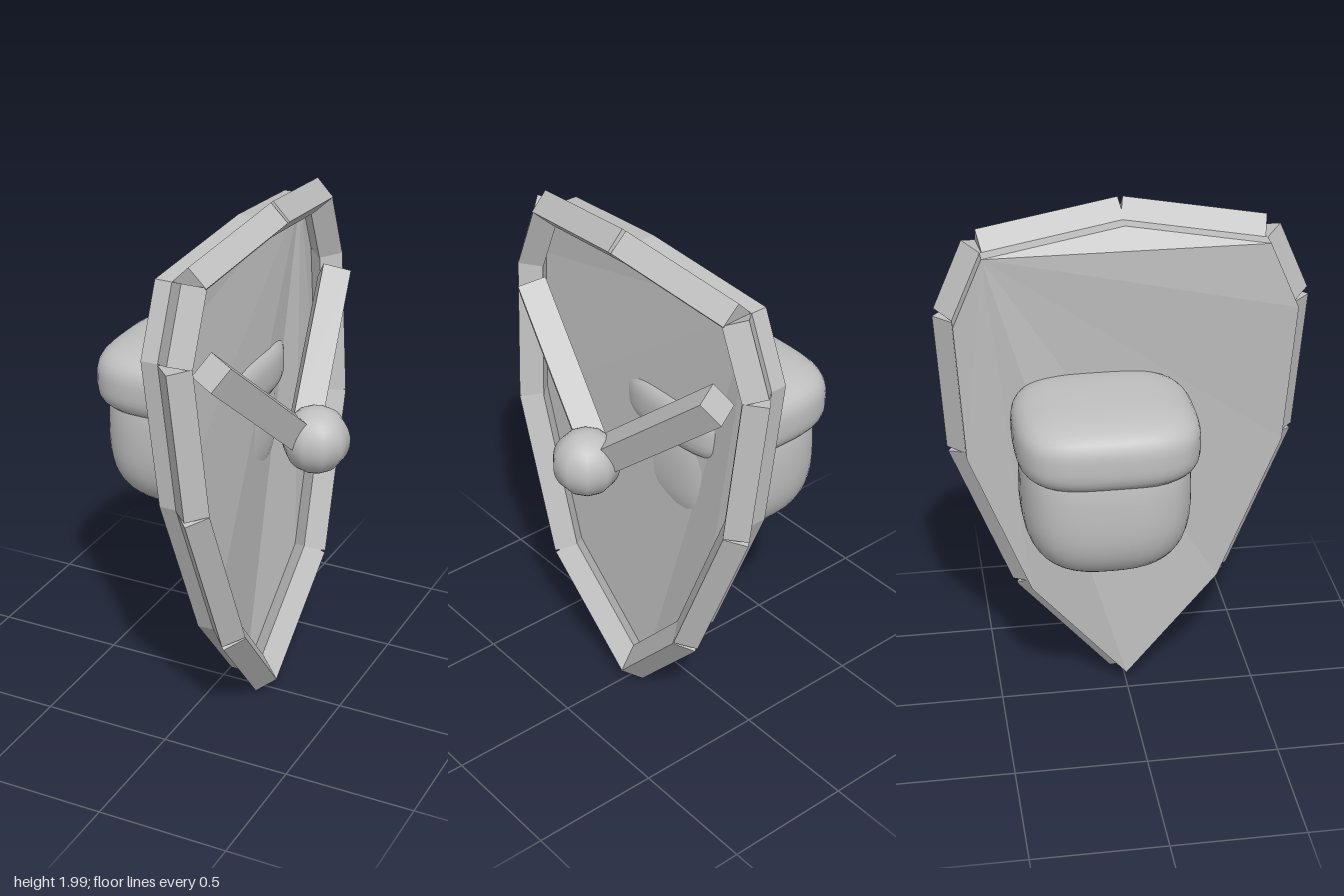
import * as THREE from 'three';
import { mergeVertices } from 'three/addons/utils/BufferGeometryUtils.js';

const V = (x, y, z) => new THREE.Vector3(x, y, z);

export function createModel() {
  const group = new THREE.Group();
  const grey = new THREE.MeshStandardMaterial({ color: 0xc0c0c0 });
  grey.name = 'plain grey';

  const add = (name, geometry) => {
    const mesh = new THREE.Mesh(geometry, grey);
    mesh.name = name;
    group.add(mesh);
  };

  // Square bar running from a to b; one pair of sides faces along hint
  const bar = (name, a, b, size, hint) => {
    const d = b.clone().sub(a);
    const length = d.length();
    d.normalize();
    const u = hint.clone().addScaledVector(d, -hint.dot(d)).normalize();
    const v = u.clone().cross(d);
    const geometry = new THREE.BoxGeometry(size, length, size);
    geometry.applyMatrix4(new THREE.Matrix4().makeBasis(u, d, v));
    const mid = a.clone().add(b).multiplyScalar(0.5);
    geometry.translate(mid.x, mid.y, mid.z);
    add(name, geometry);
  };

  // Smooth pillow shape: a cube pushed onto a rounded-box surface
  const pillow = (name, centre, half, power) => {
    let geometry = new THREE.BoxGeometry(2, 2, 2, 12, 12, 12);
    geometry.deleteAttribute('uv');
    geometry.deleteAttribute('normal');
    geometry = mergeVertices(geometry);
    const pos = geometry.attributes.position;
    const p = V(0, 0, 0);
    for (let i = 0; i < pos.count; i++) {
      p.fromBufferAttribute(pos, i);
      const n = Math.abs(p.x) ** power + Math.abs(p.y) ** power + Math.abs(p.z) ** power;
      p.multiplyScalar(n ** (-1 / power)).multiply(half).add(centre);
      pos.setXYZ(i, p.x, p.y, p.z);
    }
    geometry.computeVertexNormals();
    add(name, geometry);
  };

  // Shield outline on the back, from the top, down the left side to the tip
  const side = [
    V(0.057, 1.934, 0), V(0, 1.86, 0.52), V(0, 1.605, 0.63),
    V(0.045, 1.05, 0.597), V(0.073, 0.45, 0.365), V(0.034, 0.05, 0),
  ];
  const outline = [...side, ...side.slice(1, 5).reverse().map((p) => V(p.x, p.y, -p.z))];
  const count = outline.length;

  // Shield plate: front and back faces fan out from the upper right corner
  const thickness = 0.065;
  const points = [];
  for (const dx of [0, thickness]) {
    for (const p of outline) points.push(V(p.x + dx, p.y, p.z));
  }
  const hub = count - 1;
  const triangles = [];
  for (let i = 0; i < count; i++) {
    const j = (i + 1) % count;
    if (i < hub - 1) triangles.push(hub, j, i, hub + count, i + count, j + count);
    triangles.push(i, j, j + count, i, j + count, i + count);
  }
  const plate = new THREE.BufferGeometry().setFromPoints(triangles.map((i) => points[i]));
  plate.computeVertexNormals();
  add('shieldPlate', plate);

  // Rim: one bar per outline edge, turned 45 degrees
  const front = V(1, 0, 0);
  const offset = V(2 * thickness, 0, 0);
  outline.forEach((p, i) => {
    const a = p.clone().add(offset);
    const b = outline[(i + 1) % count].clone().add(offset);
    const d = b.clone().sub(a).normalize();
    const n = front.clone().addScaledVector(d, -front.dot(d)).normalize();
    const out = d.clone().cross(n);
    bar('rimBar', a, b, 0.093, n.add(out));
  });

  // Two braces from the upper rim to the boss
  for (const s of [1, -1]) {
    bar(s > 0 ? 'leftBrace' : 'rightBrace',
      V(0.21, 1.56, 0.522 * s), V(0.311, 1.152, 0.043 * s), 0.107, V(-0.05, -0.09, 0.055 * s));
  }

  // Round boss at the meeting point
  const ball = new THREE.SphereGeometry(0.126, 10, 20);
  ball.rotateY(Math.PI / 10);
  ball.translate(0.374, 1.123, 0);
  add('boss', ball);

  // Padded grip behind the plate: a round fist with a thick cuff over it
  pillow('fist', V(-0.185, 1.05, -0.115), V(0.29, 0.312, 0.31), 2.8);
  pillow('cuff', V(-0.19, 1.258, -0.112), V(0.31, 0.14, 0.333), 3.3);

  return group;
}
